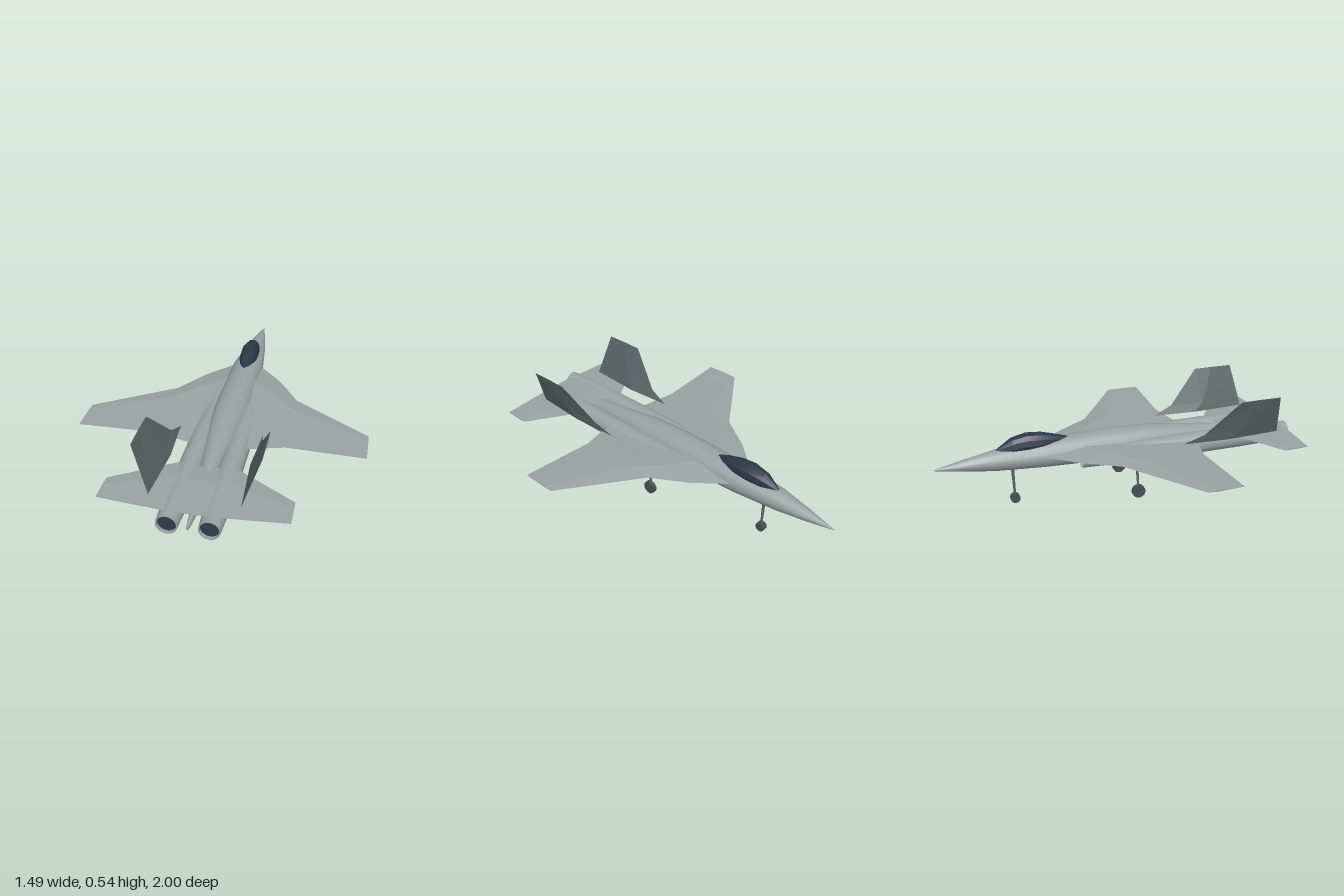
import * as THREE from 'three';
import { toCreasedNormals } from 'three/addons/utils/BufferGeometryUtils.js';

const mat = (name, color) => {
  const m = new THREE.MeshStandardMaterial({ color });
  m.name = name;
  return m;
};

// Closed skin over a list of rings, each an array of [x, y, z] points
function loft(rings, crease, flip = false) {
  const n = rings[0].length, pos = rings.flat(2), index = [];
  const tri = (a, b, c) => (flip ? index.push(a, c, b) : index.push(a, b, c));
  for (let i = 0; i < rings.length - 1; i++) {
    for (let j = 0; j < n; j++) {
      const a = i * n + j, b = i * n + (j + 1) % n;
      tri(a, b, a + n);
      tri(b, b + n, a + n);
    }
  }
  const last = (rings.length - 1) * n;
  for (let j = 1; j < n - 1; j++) {
    tri(0, j + 1, j);
    tri(last, last + j, last + j + 1);
  }
  const g = new THREE.BufferGeometry();
  g.setAttribute('position', new THREE.Float32BufferAttribute(pos, 3));
  g.setIndex(index);
  return toCreasedNormals(g, crease);
}

// Elliptical cross-sections along z: [z, half width, top y, bottom y]
function body(stations, sides, crease) {
  return loft(stations.map(([z, w, top, bottom]) =>
    Array.from({ length: sides }, (_, j) => {
      const a = (j / sides) * Math.PI * 2;
      return [w * Math.cos(a), (top + bottom) / 2 + (top - bottom) / 2 * Math.sin(a), z];
    })), crease);
}

// Horizontal blade with diamond sections: [x, y, leading z, trailing z, half thickness]
function wingBlade(stations, side, ridge) {
  return loft(stations.map(([x, y, le, te, t]) => {
    const zr = le + (te - le) * ridge;
    return [[x * side, y + t, zr], [x * side, y, te], [x * side, y - t, zr], [x * side, y, le]];
  }), 0.03, side < 0);
}

// Upright blade with diamond sections, same station layout
function finBlade(stations, side, ridge) {
  return loft(stations.map(([x, y, le, te, t]) => {
    const zr = le + (te - le) * ridge;
    return [[x * side, y, te], [(x + t) * side, y, zr], [x * side, y, le], [(x - t) * side, y, zr]];
  }), 0.03, side < 0);
}

export function createModel() {
  const skin = mat('airframe grey', 0x99a1a3);
  const dark = mat('fin grey', 0x5a6466);
  const glass = mat('canopy glass', 0x2b3746);
  const hot = mat('duct blue', 0x323c4e);
  const metal = mat('strut metal', 0x5c666b);
  const rubber = mat('tyre', 0x484e52);

  const model = new THREE.Group();
  model.name = 'jetAircraft';
  const add = (name, geo, material, parent = model) => {
    const m = new THREE.Mesh(geo, material);
    m.name = name;
    parent.add(m);
    return m;
  };

  // Fuselage with pointed nose and tapered tail
  add('fuselage', body([
    [-1, 0.001, 0.256, 0.254], [-0.85, 0.032, 0.288, 0.23], [-0.68, 0.06, 0.32, 0.209],
    [-0.42, 0.09, 0.343, 0.195], [-0.2, 0.095, 0.352, 0.187], [0, 0.096, 0.355, 0.186],
    [0.2, 0.091, 0.35, 0.186], [0.4, 0.072, 0.325, 0.187], [0.62, 0.045, 0.302, 0.19],
    [0.8, 0.026, 0.285, 0.205], [1, 0.007, 0.255, 0.235],
  ], 16, 0.6), skin);

  // Canopy
  add('canopy', body([
    [-0.665, 0.01, 0.325, 0.3], [-0.58, 0.042, 0.38, 0.28], [-0.5, 0.053, 0.397, 0.28],
    [-0.42, 0.051, 0.39, 0.28], [-0.335, 0.034, 0.367, 0.29], [-0.28, 0.01, 0.35, 0.31],
  ], 12, 0.3), glass);

  // A leg with a wheel on an axle along x
  function landingGear(name, x, z, topY, topZ, r, width) {
    const gear = new THREE.Group();
    gear.name = name;
    model.add(gear);
    const top = new THREE.Vector3(x, topY, topZ), hub = new THREE.Vector3(x, r, z);
    const dir = top.clone().sub(hub);
    const strut = add('strut', new THREE.CylinderGeometry(0.009, 0.006, dir.length(), 8), metal, gear);
    strut.position.copy(top).add(hub).multiplyScalar(0.5);
    strut.quaternion.setFromUnitVectors(new THREE.Vector3(0, 1, 0), dir.normalize());
    const wheel = add('wheel', new THREE.CylinderGeometry(r, r, width, 16).rotateZ(Math.PI / 2), rubber, gear);
    wheel.position.copy(hub);
  }
  landingGear('noseGear', 0, -0.58, 0.23, -0.586, 0.026, 0.032);

  // Engine tube profile: [radius, z], with lips turned inward at both ends
  const profile = [[0.042, -0.2], [0.043, -0.23], [0.048, -0.23], [0.056, 0], [0.061, 0.3],
    [0.061, 0.7], [0.058, 0.85], [0.051, 1], [0.046, 1], [0.044, 0.975]]
    .map(([r, z]) => new THREE.Vector2(r, z));

  for (const side of [1, -1]) {
    const tag = side > 0 ? 'left' : 'right';

    add(tag + 'Wing', wingBlade([
      [0.02, 0.279, -0.48, 0.44, 0.032], [0.09, 0.28, -0.42, 0.428, 0.03],
      [0.22, 0.285, -0.27, 0.4, 0.022], [0.34, 0.289, -0.08, 0.372, 0.015],
      [0.745, 0.296, 0.2, 0.393, 0.003],
    ], side, 0.27), skin);

    add(tag + 'Tailplane', wingBlade([
      [0, 0.296, 0.62, 0.965, 0.008], [0.14, 0.296, 0.6, 0.96, 0.008],
      [0.3, 0.296, 0.7, 0.948, 0.006], [0.447, 0.296, 0.79, 0.935, 0.003],
    ], side, 0.35), skin);

    add(tag + 'Fin', finBlade([
      [0.216, 0.303, 0.31, 0.878, 0.018], [0.232, 0.35, 0.425, 0.868, 0.015],
      [0.297, 0.537, 0.6, 0.832, 0.003],
    ], side, 0.45), dark);

    // Engine tube, intake face and exhaust face
    const engine = new THREE.Group();
    engine.name = tag + 'Engine';
    engine.position.set(0.098 * side, 0.248, 0);
    model.add(engine);
    const tube = new THREE.LatheGeometry(profile, 20).rotateX(Math.PI / 2);
    add('engineTube', toCreasedNormals(tube, 0.6), skin, engine);
    add('intakeFace', new THREE.CircleGeometry(0.043, 20).rotateY(Math.PI), hot, engine).position.z = -0.21;
    add('exhaustFace', new THREE.CircleGeometry(0.0455, 20), hot, engine).position.z = 0.985;

    landingGear(tag + 'MainGear', 0.165 * side, 0.072, 0.275, 0.055, 0.037, 0.024);
  }
  return model;
}
